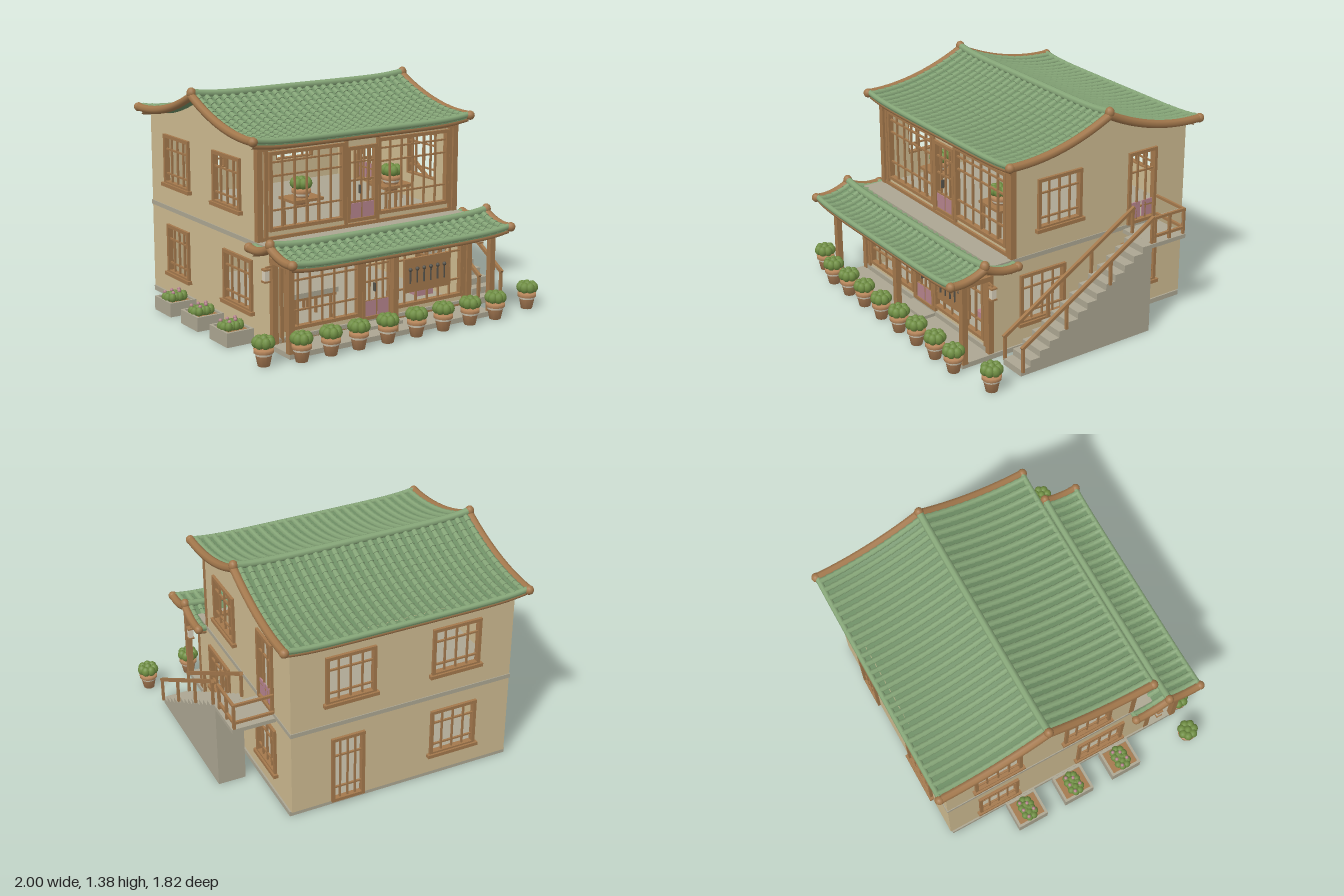
import * as THREE from 'three';
import { mergeGeometries } from 'three/addons/utils/BufferGeometryUtils.js';

const colour = (name, hex) => Object.assign(new THREE.MeshStandardMaterial({ color: hex }), { name });
const V = (x, y, z) => new THREE.Vector3(x, y, z);
const CX = -0.06; // centre line of the house

export function createModel() {
  const M = {
    plaster: colour('plaster', 0xcdba90), wood: colour('wood', 0xa3784c), tile: colour('tile', 0x86a678),
    pan: colour('tileShade', 0x6f9066), stone: colour('stone', 0xaca692), clay: colour('clay', 0xb4845a),
    leaf: colour('leaf', 0x6f8e42), pink: colour('pink', 0xb5838d), iron: colour('iron', 0x55524a),
    pale: colour('paleBand', 0xd6cdb8),
  };
  const model = new THREE.Group();
  const add = (name, mat, ...geos) => {
    const mesh = new THREE.Mesh(mergeGeometries(geos.flat().map(g => (g.index ? g.toNonIndexed() : g))), mat);
    mesh.name = name;
    model.add(mesh);
  };
  const box = (w, h, d, x, y, z) => new THREE.BoxGeometry(w, h, d).translate(x, y, z);
  const span = (x0, x1, y0, y1, z0, z1) => box(x1 - x0, y1 - y0, z1 - z0, (x0 + x1) / 2, (y0 + y1) / 2, (z0 + z1) / 2);
  const ball = (r, x, y, z, sy = 1) => new THREE.SphereGeometry(r, 12, 8).scale(1, sy, 1).translate(x, y, z);
  const align = (geo, a, b) => {
    const dir = b.clone().sub(a).normalize(), mid = a.clone().add(b).multiplyScalar(0.5);
    return geo.applyQuaternion(new THREE.Quaternion().setFromUnitVectors(V(0, 1, 0), dir)).translate(mid.x, mid.y, mid.z);
  };
  const beam = (a, b, t) => align(new THREE.BoxGeometry(t, a.distanceTo(b), t), a, b);
  const tube = (pts, r, n = 32) => new THREE.TubeGeometry(new THREE.CatmullRomCurve3(pts), n, r, 8);

  // Wall plate: outline points with rectangular openings [centre, width, y0, y1]
  const plate = (pts, openings, depth) => {
    const shape = new THREE.Shape(pts.map(p => new THREE.Vector2(...p)));
    for (const [c, w, y0, y1] of openings) {
      const a = c - w / 2, b = c + w / 2;
      shape.holes.push(new THREE.Path([[a, y0], [a, y1], [b, y1], [b, y0]].map(p => new THREE.Vector2(...p))));
    }
    return new THREE.ExtrudeGeometry(shape, { depth, bevelEnabled: false });
  };
  const rect = (a, b, y0, y1) => [[a, y0], [b, y0], [b, y1], [a, y1]];

  // Roof rules: height over distance from the ridge, and upturned ends
  const lift = x => 0.022 * Math.pow((x - CX) / 0.75, 6);
  const upper = { name: 'upper', z: -0.2, run: 0.68, rows: 14, y: d => 1.31 - 0.5 * d + 0.389 * d * d };
  const lower = { name: 'lower', z: 0.655, run: 0.22, rows: 5, y: d => 0.592 - 0.55 * d + 1.555 * d * d };

  for (const R of [upper, lower]) {
    const at = (x, s, d, dy = 0) => V(x, R.y(d) + lift(x) + dy, R.z + s * d);
    const slab = new THREE.BoxGeometry(1.5, 0.025, 2 * R.run, 24, 1, 2 * R.rows);
    const p = slab.attributes.position;
    for (let i = 0; i < p.count; i++) {
      const x = p.getX(i) + CX, z = p.getZ(i);
      p.setXYZ(i, x, p.getY(i) + R.y(Math.abs(z)) + lift(x) - 0.012, z + R.z);
    }
    const flat = slab.toNonIndexed();
    flat.computeVertexNormals();
    add(R.name + 'RoofSlab', M.pan, flat);

    // Rows of overlapping cover tiles
    const tiles = [], step = R.run / R.rows;
    for (let c = 0; c < 26; c++) for (const s of [-1, 1]) for (let r = 0; r < R.rows; r++) {
      const x = CX - 0.72 + c * 1.44 / 25, a = at(x, s, r * step), b = at(x, s, (r + 1) * step);
      tiles.push(align(new THREE.CylinderGeometry(0.0205, 0.016, a.distanceTo(b), 7), a, b));
    }
    add(R.name + 'RoofTiles', M.tile, tiles);

    // Ridge, eaves, verges and finials
    const along = (s, d, dy) => Array.from({ length: 21 }, (_, i) => at(CX - 0.75 + i * 0.075, s, d, dy));
    add(R.name + 'RidgeAndEaves', M.tile, tube(along(1, 0, 0.012), 0.022), [-1, 1].map(s => tube(along(s, R.run, 0), 0.017)));
    const trim = [-1, 1].map(s => tube(along(s, R.run - 0.02, -0.032), 0.018));
    for (const x of [CX - 0.755, CX + 0.755]) {
      for (const s of [-1, 1]) {
        trim.push(tube(Array.from({ length: 9 }, (_, i) => at(x, s, i * (R.run + 0.005) / 8, -0.008)), 0.025, 20));
        const e = at(x, s, R.run + 0.005, -0.008);
        trim.push(ball(0.028, e.x, e.y, e.z));
      }
      trim.push(ball(0.028, x, R.y(0) + 0.032, R.z, 1.2));
    }
    add(R.name + 'RoofTrim', M.wood, trim);
  }

  // Lattice in its own frame, then turned and moved into place
  const lattice = (w, h, cols, rows, sill) => {
    const g = [box(w + 0.02, 0.02, 0.034, 0, h / 2, 0), box(w + 0.02, 0.02, 0.034, 0, -h / 2, 0)];
    for (const s of [-1, 1]) g.push(box(0.02, h, 0.034, s * w / 2, 0, 0));
    for (let i = 1; i < cols; i++) g.push(box(0.01, h, 0.012, w * (i / cols - 0.5), 0, 0));
    for (const f of rows) g.push(box(w, 0.01, 0.012, 0, h * (f - 0.5), 0));
    if (sill) g.push(box(w + 0.05, 0.022, 0.045, 0, -h / 2 - 0.012, 0.006));
    return g;
  };
  const put = (geos, turn, x, y, z) => geos.map(g => g.rotateY(turn).translate(x, y, z));
  const WIN = [0.2, 0.72];

  // Foundation, intermediate floor and belt
  add('foundation', M.stone, span(-0.77, 0.65, 0, 0.03, -0.82, 0.78), span(-0.75, 0.63, 0.03, 0.06, 0.56, 0.59),
    span(-0.17, 0.07, 0.03, 0.05, 0.58, 0.68));
  add('floorBelt', M.stone, span(-0.765, 0.645, 0.555, 0.582, -0.835, 0.57));

  // Side walls with gables; openings are [z centre, width, y0, y1]
  const side = (x, lo, hi) => {
    const turn = (pts, list) => plate(pts.map(([z, y]) => [-z, y]), list.map(([z, ...o]) => [-z, ...o]), 0.02)
      .rotateY(Math.PI / 2).translate(x > 0 ? x - 0.02 : x, 0, 0);
    const top = [[0.42, 0.58]];
    for (let i = 0; i <= 16; i++) {
      const z = 0.42 - i * 1.24 / 16;
      top.push([z, upper.y(Math.abs(z - upper.z)) - 0.015]);
    }
    top.push([-0.82, 0.58]);
    add(x > 0 ? 'leftWall' : 'rightWall', M.plaster, turn(rect(0.57, -0.82, 0.03, 0.556), lo), turn(top, hi));
    const frames = [...lo, ...hi].map(([z, w, y0, y1]) =>
      put(lattice(w, y1 - y0, y1 - y0 > 0.4 ? 3 : 4, WIN, y1 - y0 < 0.4), x > 0 ? Math.PI / 2 : -Math.PI / 2, x, (y0 + y1) / 2, z));
    add('sideWindowFrames', M.wood, frames.flat());
  };
  const lowSide = [[0.22, 0.3, 0.17, 0.46], [-0.49, 0.25, 0.17, 0.46]];
  side(0.64, lowSide, [[0.105, 0.29, 0.73, 1.02], [-0.5, 0.19, 0.59, 1.025]]);
  side(-0.76, lowSide, [[0.105, 0.29, 0.73, 1.02], [-0.49, 0.29, 0.73, 1.02]]);

  // Back wall
  const backLow = [[0.29, 0.19, 0.04, 0.465], [-0.39, 0.28, 0.17, 0.46]];
  const backUp = [[0.275, 0.29, 0.73, 1.02], [-0.39, 0.29, 0.73, 1.02]];
  add('backWall', M.plaster, plate(rect(-0.76, 0.64, 0.03, 0.556), backLow, 0.02).translate(0, 0, -0.83),
    plate(rect(-0.76, 0.64, 0.58, 1.15), backUp, 0.02).translate(0, 0, -0.83));
  add('backWindowFrames', M.wood, [...backLow, ...backUp].flatMap(([x, w, y0, y1]) =>
    put(lattice(w, y1 - y0, 4, WIN, y1 - y0 < 0.4), Math.PI, x, (y0 + y1) / 2, -0.83)));

  // Front walls: two wide screens and a double door on each floor
  for (const [name, y0, y1, z, sill] of [['lower', 0.03, 0.556, 0.575, 0.1], ['upper', 0.58, 1.14, 0.42, 0.64]]) {
    const head = y1 - 0.065;
    const open = [[-0.425, 0.49, sill, head], [-0.05, 0.19, y0 + 0.04, head - 0.03], [0.32, 0.5, sill, head]];
    add(name + 'FrontWall', M.plaster, plate(rect(-0.74, 0.62, y0, y1), open, 0.012).translate(0, 0, z - 0.012));
    const wood = open.flatMap(([x, w, a, b], i) =>
      put(lattice(w, b - a, i === 1 ? 4 : 6, i === 1 ? [0.25, 0.55, 0.8] : [0.25, 0.7, 0.88]), 0, x, (a + b) / 2, z));
    for (const x of [-0.745, 0.625]) wood.push(span(x - 0.018, x + 0.018, y0, y1, z - 0.015, z + 0.02));
    for (const x of [-0.7, -0.162, 0.062, 0.592]) wood.push(span(x - 0.01, x + 0.01, y0, y1 - 0.03, z - 0.01, z + 0.015));
    wood.push(span(-0.76, 0.64, y1 - 0.045, y1, z - 0.01, z + 0.025), span(-0.74, 0.62, y0, y0 + 0.022, z - 0.01, z + 0.015));
    add(name + 'FrontScreens', M.wood, wood);
    add(name + 'DoorPanels', M.pink, [-0.095, -0.005].map(x => box(0.08, 0.09, 0.008, x, y0 + 0.095, z + 0.004)));
    add(name + 'DoorHandles', M.iron, box(0.006, 0.05, 0.02, -0.068, y0 + 0.22, z + 0.01));
  }
  add('sideDoorPanels', M.pink, [-0.455, -0.545].map(z => box(0.008, 0.1, 0.075, 0.642, 0.66, z)));

  // Porch posts and beams
  const posts = [-0.76, CX, 0.645];
  add('porchFrame', M.wood, posts.map(x => span(x - 0.018, x + 0.018, 0.03, 0.54, 0.75, 0.785)),
    posts.map(x => span(x - 0.012, x + 0.012, 0.5, 0.53, 0.57, 0.78)), span(-0.79, 0.67, 0.515, 0.54, 0.755, 0.78));

  // Outside stair, landing and railings
  const steps = [[-0.56, 0]];
  for (let i = 0; i < 14; i++) steps.push([-0.56 + i * 0.0664, (i + 1) * 0.04], [-0.56 + (i + 1) * 0.0664, (i + 1) * 0.04]);
  steps.push([0.37, 0]);
  add('staircase', M.stone, plate(steps, [], 0.17).rotateY(Math.PI / 2).translate(0.735, 0, 0),
    span(0.64, 0.905, 0.535, 0.56, -0.625, -0.37));
  const rails = [];
  for (const x of [0.737, 0.912]) {
    rails.push(beam(V(x, 0.175, 0.56), V(x, 0.735, -0.37), 0.02));
    for (const z of [0.55, 0.25, -0.06, -0.36]) {
      const y = 0.175 + (0.56 - z) * 0.602;
      rails.push(span(x - 0.008, x + 0.008, y - 0.155, y, z - 0.008, z + 0.008));
    }
  }
  for (const y of [0.6, 0.715]) rails.push(span(0.882, 0.898, y - 0.008, y + 0.008, -0.625, -0.39));
  for (const z of [-0.4, -0.51, -0.617]) rails.push(span(0.882, 0.898, 0.56, 0.715, z - 0.008, z + 0.008));
  for (const y of [0.6, 0.715]) rails.push(span(0.65, 0.89, y - 0.008, y + 0.008, -0.625, -0.61));
  add('stairRailings', M.wood, rails);

  // Potted shrubs
  const bush = (x, y, z, k = 1) => Array.from({ length: 8 }, (_, i) => {
    const a = i * Math.PI * 2 / 7, r = i === 7 ? 0 : 0.039 * k;
    return new THREE.IcosahedronGeometry(0.028 * k, 1).scale(1, i === 7 ? 1.45 : 1.2, 1)
      .translate(x + r * Math.cos(a), y, z + r * Math.sin(a));
  });
  const potProfile = [[0, 0], [0.034, 0], [0.049, 0.075], [0.056, 0.075], [0.056, 0.098], [0, 0.098]].map(p => new THREE.Vector2(...p));
  const pot = (x, y, z) => {
    add('pot', M.clay, new THREE.LatheGeometry(potProfile, 14).translate(x, y, z));
    add('potBand', M.pale, new THREE.CylinderGeometry(0.0505, 0.0475, 0.012, 14, 1, true).translate(x, y + 0.067, z));
    add('shrub', M.leaf, bush(x, y + 0.133, z));
  };
  for (const x of [-0.727, -0.535, -0.348, -0.15, 0.053, 0.246, 0.444, 0.636]) pot(x, 0, 0.83);
  for (const x of [-0.935, 0.93]) pot(x, 0, 0.775);

  // Planter boxes with flowers beside the house
  for (const z of [-0.35, -0.02, 0.32]) {
    add('planter', M.stone, [-0.1, 0.1].map(d => box(0.17, 0.085, 0.015, -0.87, 0.0425, z + d * 0.93)),
      [-0.95, -0.79].map(x => box(0.015, 0.085, 0.2, x, 0.0425, z)));
    add('planterSoil', M.wood, box(0.15, 0.015, 0.18, -0.87, 0.065, z));
    add('planterLeaves', M.leaf, bush(-0.9, 0.095, z, 0.85), bush(-0.85, 0.095, z, 0.85));
    add('planterFlowers', M.pink, [[-0.93, -0.02], [-0.9, 0.03], [-0.88, -0.03], [-0.85, 0.01], [-0.83, -0.03]].map(
      ([x, d]) => ball(0.011, x, 0.125, z + d)));
  }

  // Upper tables with shrubs, lower bench, stool and tool board
  const table = (x, z, y0, h, w, d) => [box(w, 0.016, d, x, y0 + h, z),
    ...[-1, 1].flatMap(a => [-1, 1].map(b => box(0.014, h, 0.014, x + a * (w / 2 - 0.025), y0 + h / 2, z + b * (d / 2 - 0.02))))];
  for (const x of [-0.36, 0.28]) {
    add('upperTable', M.wood, table(x, 0.26, 0.582, 0.17, 0.21, 0.16));
    pot(x, 0.71, 0.26);
  }
  add('lowerTable', M.wood, table(-0.36, 0.3, 0.03, 0.16, 0.3, 0.2), table(-0.36, 0.12, 0.03, 0.1, 0.28, 0.08));
  add('lowerTableTop', M.stone, box(0.32, 0.03, 0.22, -0.36, 0.215, 0.3));
  add('stool', M.pink, box(0.12, 0.05, 0.1, 0.39, 0.12, 0.42));
  add('toolBoard', M.wood, box(0.33, 0.205, 0.015, 0.295, 0.283, 0.6));
  add('hangingTools', M.iron, Array.from({ length: 6 }, (_, i) => [box(0.007, 0.09, 0.008, 0.17 + i * 0.05, 0.28, 0.611),
    ball(0.012, 0.17 + i * 0.05, 0.32, 0.611)]).flat());

  // Wall lanterns at the front corners
  for (const x of [0.69, -0.81]) {
    add('lantern', M.pale, box(0.03, 0.06, 0.03, x, 0.44, 0.6));
    add('lanternFrame', M.wood, box(0.04, 0.01, 0.04, x, 0.475, 0.6), box(0.04, 0.01, 0.04, x, 0.407, 0.6),
      beam(V(x, 0.485, 0.6), V(x > 0 ? 0.63 : -0.75, 0.485, 0.59), 0.01));
  }
  return model;
}
